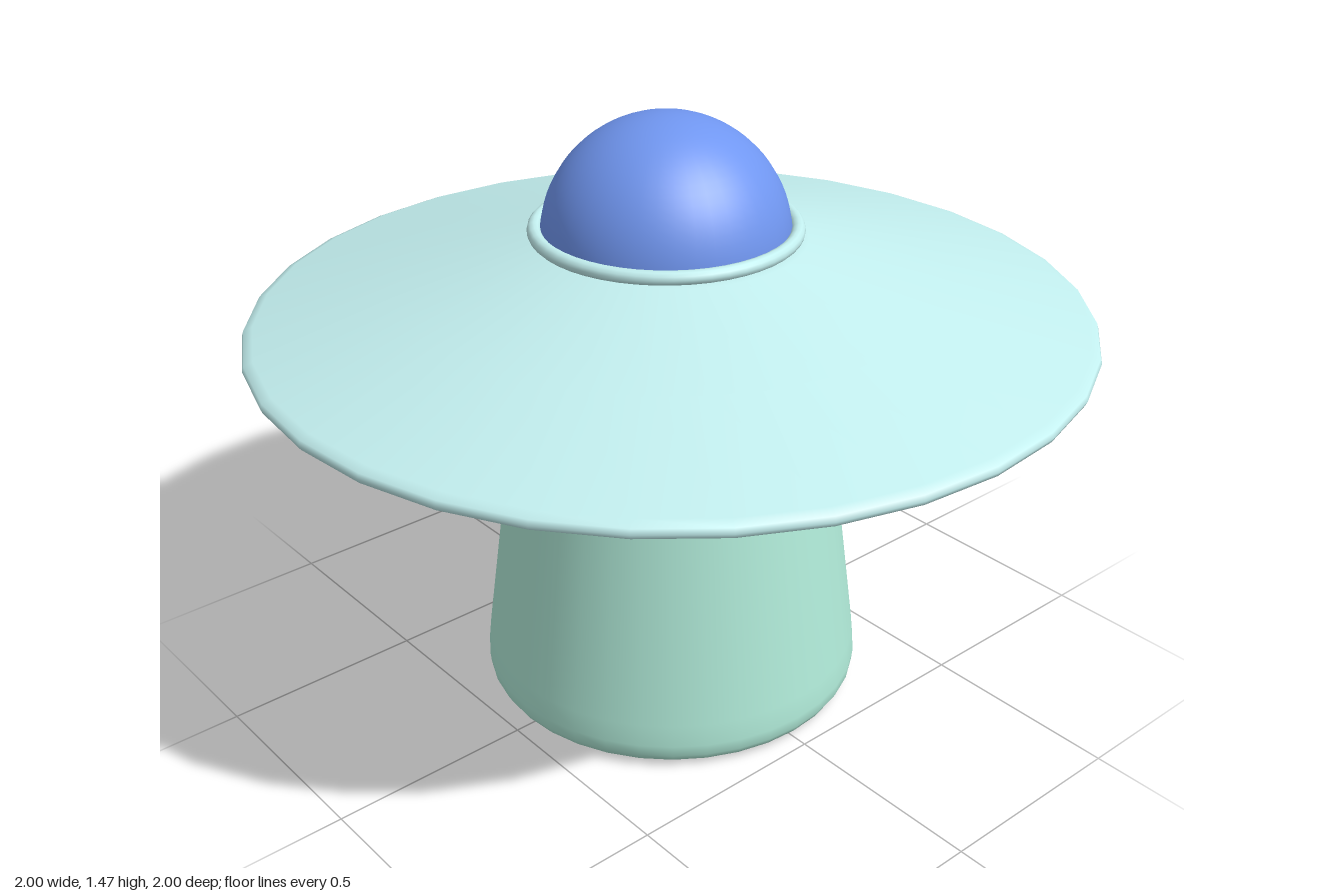
import * as THREE from 'three';

const HULL = 0xc2eeee, BEAM = 0xb0ead8, GLASS = 0x7096f0, LAMP = 0xd9ae0a;

function part(name, geometry, color) {
  const mesh = new THREE.Mesh(geometry, new THREE.MeshStandardMaterial({ color }));
  mesh.name = name;
  return mesh;
}

// Profile is listed from the bottom axis outwards and up.
function lathe(profile, segments) {
  return new THREE.LatheGeometry(profile.map(([r, y]) => new THREE.Vector2(r, y)), segments);
}

// Rounded ring lying flat around the y axis.
function ring(name, radius, tube, y, z) {
  const geometry = new THREE.TorusGeometry(radius, tube, 12, 48).rotateX(Math.PI / 2);
  const mesh = part(name, geometry, HULL);
  mesh.position.set(0, y, z);
  return mesh;
}

export function createModel() {
  const group = new THREE.Group();

  // Saucer hull with a thin rounded rim
  group.add(part('saucer', lathe([
    [0, 0.69], [0.43, 0.69], [0.45, 0.697], [0.72, 0.83], [0.975, 0.955],
    [0.996, 0.968], [1, 0.978], [0.996, 0.99], [0.975, 0.999],
    [0.65, 1.09], [0.32, 1.181], [0.29, 1.185], [0, 1.185],
  ], 32), HULL));

  // Cockpit dome, set slightly towards the back, and its collar
  const dome = part('dome',
    new THREE.SphereGeometry(0.295, 40, 20, 0, Math.PI * 2, 0, Math.PI * 0.52), GLASS);
  dome.position.set(0, 1.17, -0.018);
  group.add(dome);
  group.add(ring('domeCollar', 0.307, 0.017, 1.196, -0.018));

  // Beam below the hull, widening to a rounded foot
  group.add(part('beam', lathe([
    [0, 0], [0.41, 0.002], [0.44, 0.006], [0.46, 0.017], [0.471, 0.036],
    [0.474, 0.065], [0.468, 0.12], [0.395, 0.67], [0.39, 0.7],
  ], 36), BEAM));
  group.add(ring('beamCollar', 0.397, 0.018, 0.677, 0));

  // Eight flattened lamps lying on the sloping underside
  const lamps = new THREE.Group();
  lamps.name = 'lamps';
  const lampGeometry = new THREE.SphereGeometry(0.056, 20, 12).scale(1, 0.45, 1);
  for (let i = 0; i < 8; i++) {
    const pivot = new THREE.Group();
    pivot.rotation.y = i * Math.PI / 4;
    const lamp = part('lamp', lampGeometry, LAMP);
    lamp.position.set(0.605, 0.773, 0);
    lamp.rotation.z = Math.atan2(0.133, 0.27);
    pivot.add(lamp);
    lamps.add(pivot);
  }
  group.add(lamps);

  return group;
}
